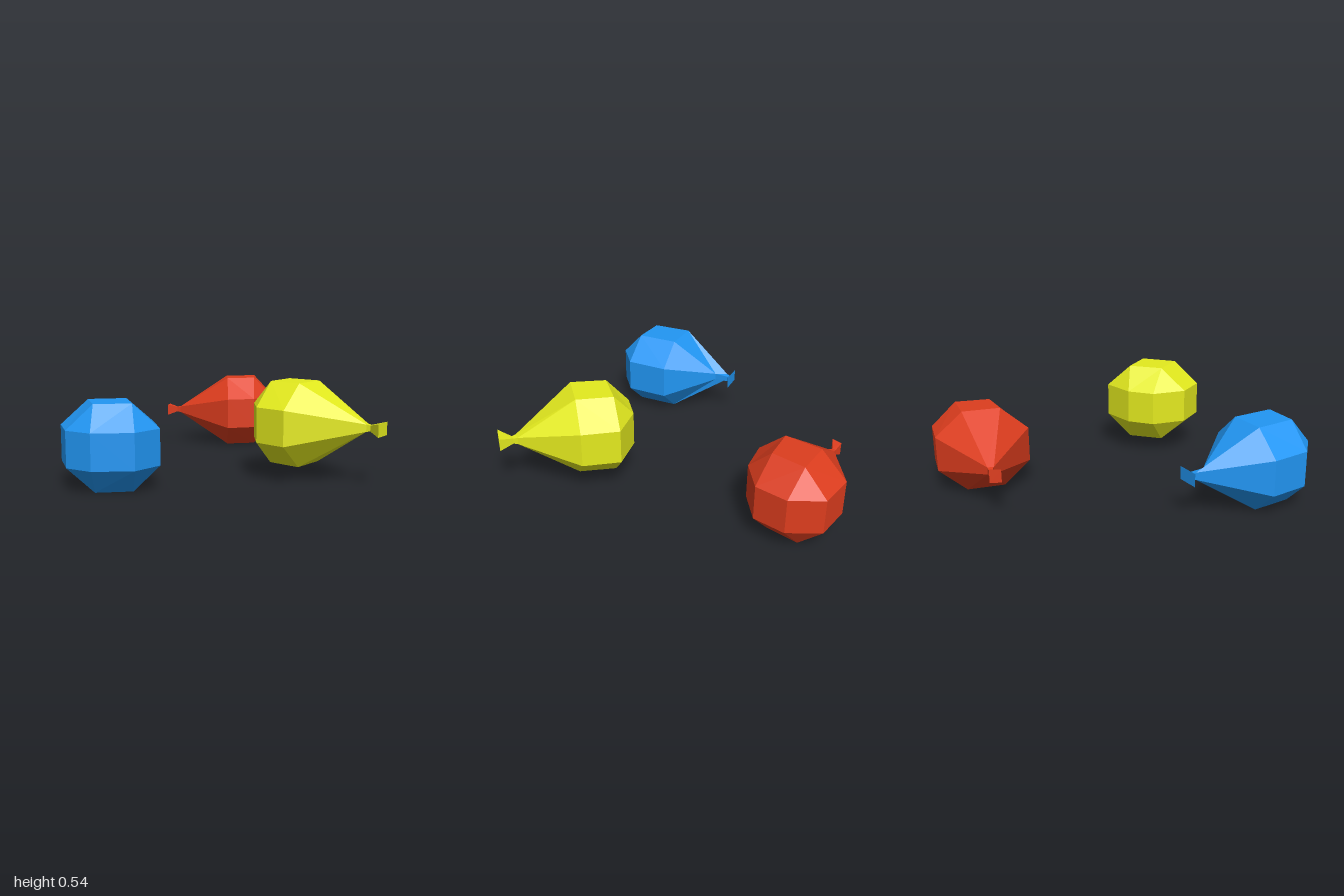
import * as THREE from 'three';

// One cross-section: a = [x, z] and b = [x, z] are its two sides,
// side/top = half heights at the sides and on top, inner = width share of the flat top.
function section(y, a, b, side, top = side, inner = 1) {
  const mix = (t) => [a[0] + (b[0] - a[0]) * t, a[1] + (b[1] - a[1]) * t];
  const p = mix((1 - inner) / 2), q = mix((1 + inner) / 2);
  return [[a, side], [p, top], [q, top], [b, side], [b, -side], [q, -top], [p, -top], [a, -side]]
    .map(([[x, z], h]) => new THREE.Vector3(x, y + h, z));
}

// Skin a list of sections and close both ends, skipping collapsed triangles
function loft(rings) {
  const out = [];
  const tri = (a, b, c) => {
    const area = b.clone().sub(a).cross(c.clone().sub(a)).length();
    if (area > 1e-7) for (const v of [a, b, c]) out.push(v.x, v.y, v.z);
  };
  const n = rings[0].length;
  for (let i = 0; i < rings.length - 1; i++) {
    const r = rings[i], s = rings[i + 1];
    for (let j = 0; j < n; j++) {
      const k = (j + 1) % n;
      tri(r[j], r[k], s[k]);
      tri(r[j], s[k], s[j]);
    }
  }
  const last = rings[rings.length - 1];
  for (let j = 1; j < n - 1; j++) {
    tri(rings[0][0], rings[0][j + 1], rings[0][j]);
    tri(last[0], last[j], last[j + 1]);
  }
  const g = new THREE.BufferGeometry();
  g.setAttribute('position', new THREE.Float32BufferAttribute(out, 3));
  g.computeVertexNormals();
  return g;
}

// Side points run from the round end to the flared mouth
const balloons = [
  {
    name: 'redBalloon', color: 0xdd3d1e, y: 0.23,
    back: [[-0.37, -0.85], [-0.5, -0.98]],
    rear: [[-0.37, -0.66], [-0.69, -1.0]],
    front: [[-0.46, -0.5], [-0.83, -0.85]],
    neck: [[-0.867, -0.43], [-0.89, -0.455]],
    pinch: [[-0.89, -0.42], [-0.905, -0.435]],
    mouth: [[-0.91, -0.35], [-0.945, -0.4]],
  },
  {
    name: 'blueBalloon', color: 0x2196f3, y: 0.23,
    back: [[0.05, 0.96], [0.19, 0.79]],
    rear: [[-0.11, 1.0], [0.17, 0.61]],
    front: [[-0.31, 0.9], [-0.04, 0.48]],
    neck: [[-0.46, 0.53], [-0.385, 0.538]],
    pinch: [[-0.475, 0.51], [-0.458, 0.495]],
    mouth: [[-0.515, 0.55], [-0.45, 0.44]],
  },
  {
    name: 'yellowBalloon', color: 0xe3ea1e, y: 0.31,
    back: [[0.19, -0.21], [0.21, -0.05]],
    rear: [[0.27, -0.4], [0.36, 0.09]],
    front: [[0.48, -0.42], [0.555, 0.09]],
    neck: [[0.825, -0.288], [0.84, -0.25]],
    pinch: [[0.85, -0.285], [0.86, -0.258]],
    mouth: [[0.92, -0.325], [0.94, -0.215]],
  },
];

function makeBalloon(b) {
  const group = new THREE.Group();
  group.name = b.name;
  const material = new THREE.MeshStandardMaterial({ color: b.color, flatShading: true });
  const add = (name, rings) => {
    const mesh = new THREE.Mesh(loft(rings), material);
    mesh.name = name;
    group.add(mesh);
  };
  const neck = section(b.y, ...b.neck, 0.02);
  // Faceted body tapering to the neck
  add('body', [
    section(b.y, ...b.back, 0.097),
    section(b.y, ...b.rear, 0.097, 0.23, 0.41),
    section(b.y, ...b.front, 0.097, 0.23, 0.41),
    neck,
  ]);
  // Pinched neck and flared mouth
  add('knot', [neck, section(b.y, ...b.pinch, 0.016), section(b.y, ...b.mouth, 0.036)]);
  return group;
}

export function createModel() {
  const model = new THREE.Group();
  model.name = 'balloons';
  for (const b of balloons) model.add(makeBalloon(b));
  return model;
}
